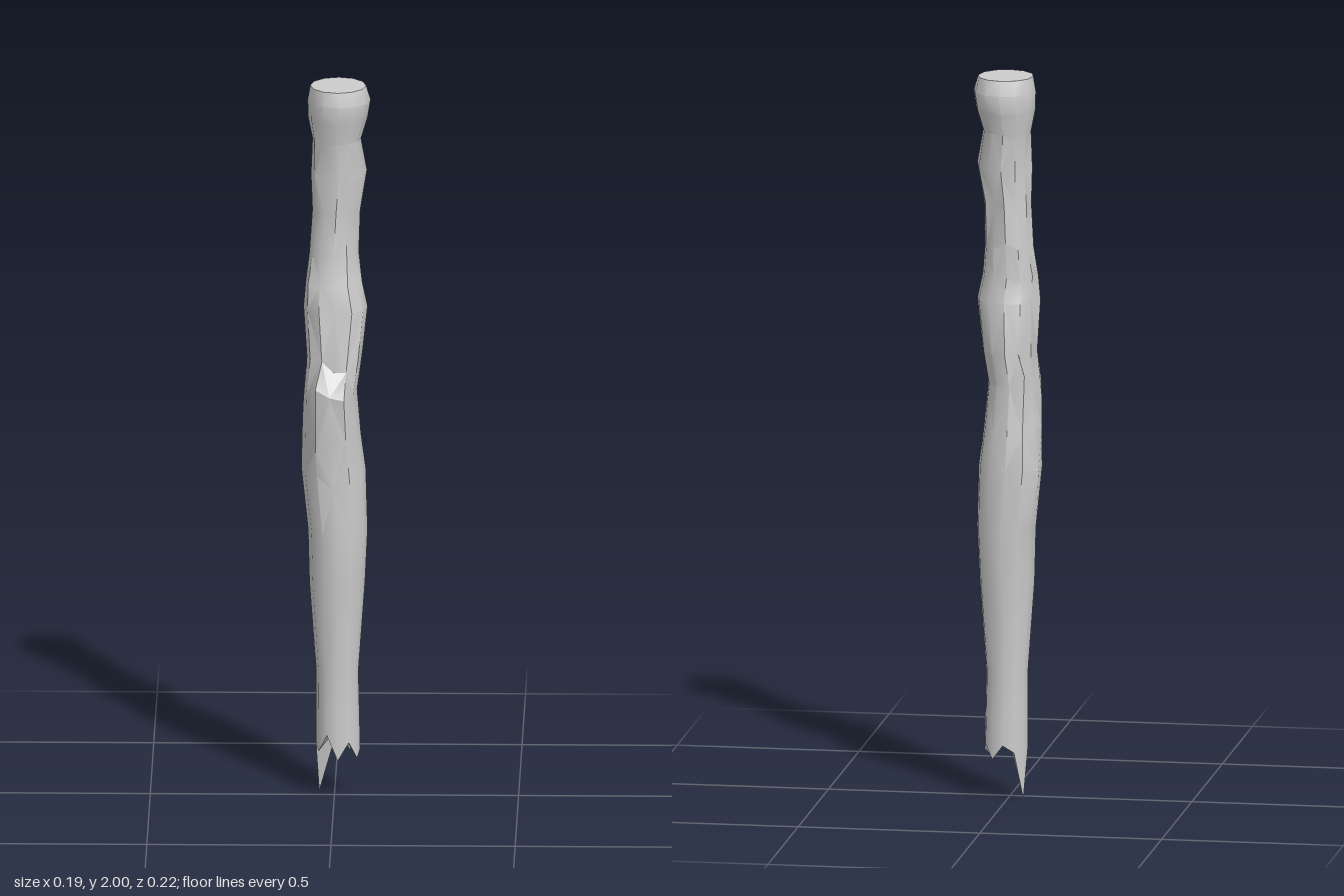
import * as THREE from 'three';
import { toCreasedNormals } from 'three/addons/utils/BufferGeometryUtils.js';

const SIDES = 12; // side 0 is +x, 3 is front, 6 is -x, 9 is back

// Cross-sections from bottom to top: y, min x, max x, min z, max z
const RINGS = [
  [0.14, -0.05, 0.07, -0.065, 0.055],
  [0.22, -0.05, 0.068, -0.065, 0.055],
  [0.35, -0.05, 0.065, -0.065, 0.055],
  [0.60, -0.068, 0.083, -0.085, 0.077],
  [0.75, -0.072, 0.09, -0.096, 0.086],
  [0.92, -0.09, 0.085, -0.106, 0.087],
  [1.02, -0.088, 0.072, -0.1, 0.092],
  [1.15, -0.085, 0.062, -0.085, 0.11],
  [1.24, -0.075, 0.075, -0.093, 0.09],
  [1.38, -0.084, 0.09, -0.088, 0.085],
  [1.45, -0.078, 0.075, -0.07, 0.062],
  [1.53, -0.068, 0.066, -0.085, 0.046],
  [1.65, -0.06, 0.07, -0.07, 0.052],
  [1.75, -0.064, 0.088, -0.085, 0.052],
  [1.85, -0.06, 0.072, -0.085, 0.056],
  [1.91, -0.072, 0.09, -0.105, 0.074],
  [1.96, -0.073, 0.098, -0.108, 0.079],
  [2.0, -0.066, 0.086, -0.092, 0.068],
];

// Carved hollows and knots: ring, side, radial scale, vertical shift
const CARVING = [
  [5, 7, 1.14, 0], [5, 8, 1.1, 0], [5, 3, 0.95, -0.04], [6, 4, 1.04, -0.03],
  [6, 7, 0.86, 0.03], [7, 6, 1.0, -0.04], [7, 7, 0.84, 0], [7, 8, 1.12, 0.03],
  [7, 2, 1.06, -0.01], [7, 4, 1.05, 0.02], [8, 2, 0.88, -0.03], [8, 3, 0.78, -0.03],
  [8, 4, 0.88, 0], [8, 8, 0.9, 0], [9, 3, 0.88, 0], [9, 2, 1.05, 0],
  [9, 7, 0.88, 0.02], [10, 1, 0.9, 0], [10, 8, 0.88, -0.02], [10, 5, 1.05, 0],
  [11, 2, 1.05, 0], [11, 7, 0.88, 0.02], [11, 9, 1.0, 0.02], [12, 1, 0.82, 0],
  [12, 2, 0.84, 0], [12, 10, 0.84, 0], [12, 8, 0.9, -0.02], [13, 7, 0.88, 0],
  [13, 0, 1.0, 0.01], [13, 4, 0.95, 0], [14, 8, 0.9, -0.02], [14, 5, 1.04, 0],
];

// Heights of the splintered lower rim, one for each side
const RIM = [0.13, 0.11, 0.16, 0.11, 0.18, 0.13, 0.14, 0, 0.13, 0.15, 0.11, 0.15];

function ringPoint([y, x0, x1, z0, z1], side, scale = 1) {
  const a = (side / SIDES) * Math.PI * 2;
  return new THREE.Vector3(
    (x0 + x1) / 2 + ((x1 - x0) / 2) * scale * Math.cos(a),
    y,
    (z0 + z1) / 2 + ((z1 - z0) / 2) * scale * Math.sin(a)
  );
}

function build(points, index, crease) {
  const g = new THREE.BufferGeometry().setFromPoints(points);
  g.setIndex(index);
  return toCreasedNormals(g, crease);
}

export function createModel() {
  const group = new THREE.Group();
  group.name = 'brokenStaff';
  const grey = new THREE.MeshStandardMaterial({ color: 0xcccccc });
  grey.name = 'paleGrey';

  // Shaft points, carved and splintered
  const points = [];
  for (const ring of RINGS)
    for (let k = 0; k < SIDES; k++) points.push(ringPoint(ring, k));
  for (const [i, k, scale, shift] of CARVING) {
    const p = ringPoint(RINGS[i], k, scale);
    p.y += shift;
    points[i * SIDES + k].copy(p);
  }
  RIM.forEach((y, k) => { points[k].y = y; });

  // Shaft faces
  const index = [];
  for (let i = 0; i < RINGS.length - 1; i++) {
    for (let k = 0; k < SIDES; k++) {
      const n = (k + 1) % SIDES;
      const a = i * SIDES + k, b = i * SIDES + n;
      const c = a + SIDES, d = b + SIDES;
      if ((i + k) % 2) index.push(a, c, b, b, c, d);
      else index.push(a, c, d, a, d, b);
    }
  }
  const shaft = new THREE.Mesh(build(points, index, 0.6), grey);
  shaft.name = 'shaft';
  group.add(shaft);

  // Flat top and hollow splintered end, each a fan around a centre point
  const fan = (name, rim, centre, up) => {
    const faces = [];
    for (let k = 0; k < SIDES; k++) {
      const n = (k + 1) % SIDES;
      faces.push(...(up ? [SIDES, n, k] : [SIDES, k, n]));
    }
    const mesh = new THREE.Mesh(build([...rim, centre], faces, 0.3), grey);
    mesh.name = name;
    group.add(mesh);
  };
  fan('topCap', points.slice(-SIDES), new THREE.Vector3(0.01, 2, -0.012), true);
  fan('splinteredEnd', points.slice(0, SIDES), new THREE.Vector3(0.01, 0.19, -0.005), false);

  return group;
}
